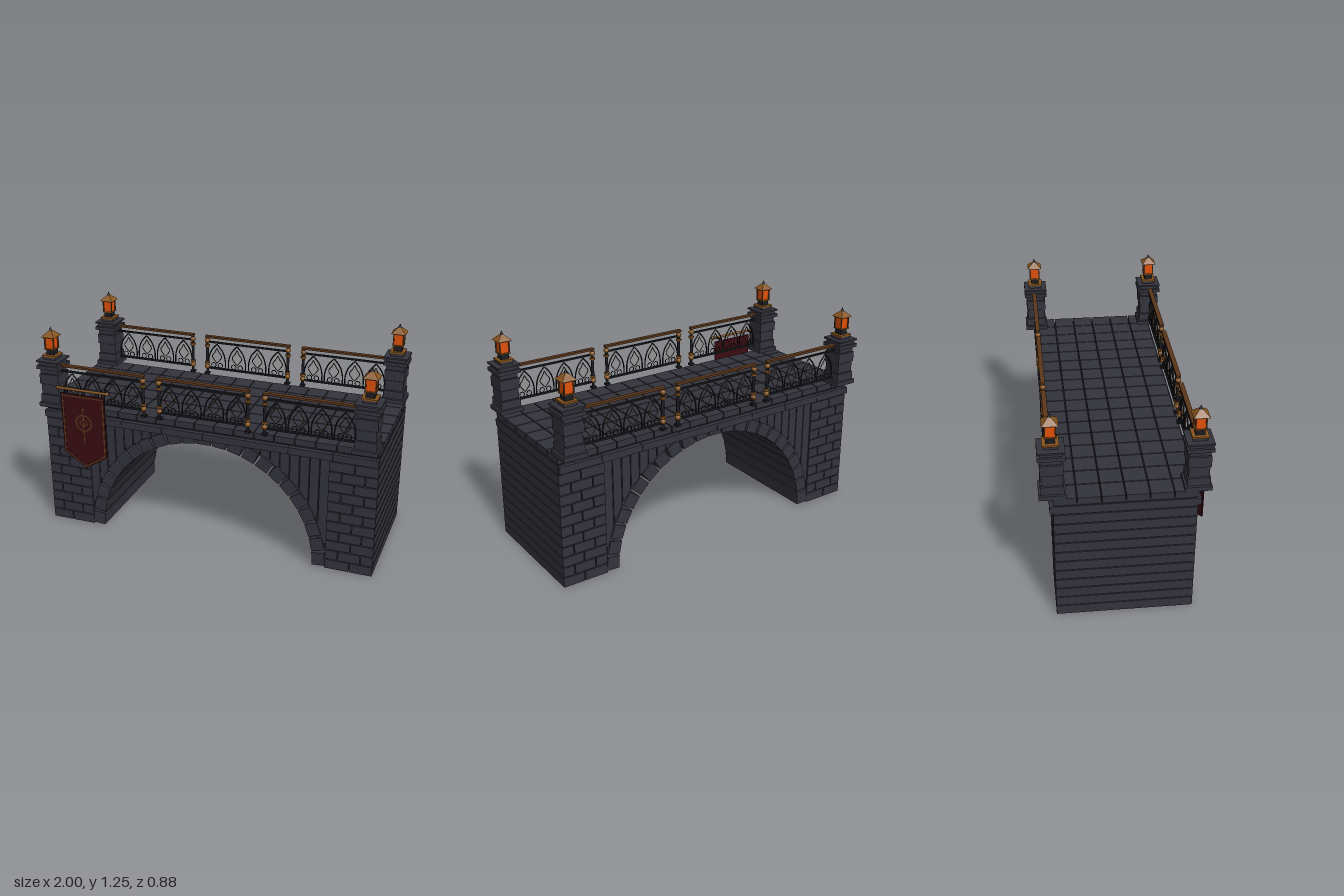
import * as THREE from 'three';

const paint = (name, color) => {
  const m = new THREE.MeshStandardMaterial({ color });
  m.name = name;
  return m;
};

export function createModel() {
  const stone = paint('slate stone', 0x33333d);
  const joint = paint('dark joint', 0x1f1f25);
  const iron = paint('black iron', 0x1b1c21);
  const bronze = paint('bronze', 0x5c371b);
  const gold = paint('aged gold', 0x87551f);
  const glow = paint('lantern glow', 0xe2500a);
  const cloth = paint('banner cloth', 0x3a0b11);
  cloth.side = THREE.DoubleSide;

  const root = new THREE.Group();
  root.name = 'bridge';
  const group = (name, parent = root) => {
    const g = new THREE.Group();
    g.name = name;
    parent.add(g);
    return g;
  };
  const add = (parent, name, geo, mat, x = 0, y = 0, z = 0) => {
    const m = new THREE.Mesh(geo, mat);
    m.name = name;
    m.position.set(x, y, z);
    parent.add(m);
    return m;
  };
  // Box given by its x, y and z limits
  const block = (parent, name, mat, x0, x1, y0, y1, z0, z1) =>
    add(parent, name, new THREE.BoxGeometry(Math.abs(x1 - x0), y1 - y0, z1 - z0), mat,
      (x0 + x1) / 2, (y0 + y1) / 2, (z0 + z1) / 2);
  // Square course centred on the parent's axis
  const course = (parent, name, mat, half, y0, y1) =>
    block(parent, name, mat, -half, half, y0, y1, -half, half);
  const flat = (geo) => {
    const g = geo.toNonIndexed();
    g.computeVertexNormals();
    return g;
  };
  const tube = (points, r, closed = false, n = 14) => new THREE.TubeGeometry(
    new THREE.CatmullRomCurve3(points.map(([x, y]) => new THREE.Vector3(x, y, 0)), closed), n, r, 5, closed);

  // Abutments: through-going bricks in running bond
  const rowH = 0.0617;
  for (const s of [-1, 1]) {
    const abutment = group(s > 0 ? 'leftAbutment' : 'rightAbutment');
    for (let r = 0; r < 12; r++) {
      const y0 = r * rowH, y1 = Math.min(y0 + rowH - 0.006, 0.728);
      const cuts = r % 2 ? [0.725, 0.80, 0.93, 1] : [0.725, 0.87, 1];
      for (let i = 0; i + 1 < cuts.length; i++)
        block(abutment, 'brick', stone, s * (cuts[i] + 0.003), s * (cuts[i + 1] - (i + 2 < cuts.length ? 0.003 : 0)),
          y0, y1, -0.37, 0.37);
    }
  }

  // Arch ring
  const arch = group('archRing');
  const count = 23;
  for (let i = 0; i < count; i++) {
    const a = (i + 0.5) / count * Math.PI;
    const v = add(arch, 'voussoir', new THREE.BoxGeometry(0.074, 0.079, 0.74), stone,
      Math.cos(a) * 0.69, Math.sin(a) * 0.69, 0);
    v.rotation.z = a;
  }

  // Spandrels: dark core with upright facing stones
  const spandrel = group('spandrels');
  const R = 0.718;
  const core = new THREE.Shape();
  core.moveTo(-0.728, 0.728);
  core.lineTo(-0.728, 0.12);
  core.lineTo(-Math.sqrt(R * R - 0.0144), 0.12);
  core.absarc(0, 0, R, Math.PI - Math.asin(0.12 / R), Math.asin(0.12 / R), true);
  core.lineTo(0.728, 0.12);
  core.lineTo(0.728, 0.728);
  add(spandrel, 'spandrelCore',
    new THREE.ExtrudeGeometry(core, { depth: 0.7, bevelEnabled: false, curveSegments: 40 }), joint, 0, 0, -0.35);
  for (const s of [-1, 1]) for (let i = 0; i < 10; i++) {
    const x1 = 0.728 - i * 0.057, x0 = x1 - 0.052, mid = (x0 + x1) / 2;
    const y0 = Math.sqrt(R * R - mid * mid);
    if (y0 < 0.7) block(spandrel, 'facingStone', stone, s * x0, s * x1, y0, 0.728, -0.36, 0.36);
  }

  // String courses and deck paving
  const deck = group('deck');
  for (const s of [-1, 1]) for (let i = 0; i < 8; i++)
    block(deck, 'stringCourse', stone, -1 + i * 0.25, -0.752 + i * 0.25, 0.686, 0.727, s * 0.37 - 0.018, s * 0.37 + 0.018);
  block(deck, 'deckBed', joint, -0.995, 0.995, 0.727, 0.745, -0.36, 0.36);
  const nx = 17, nz = 6, px = 2 / nx, pz = 0.744 / nz;
  for (let i = 0; i < nx; i++) for (let k = 0; k < nz; k++)
    block(deck, 'pavingStone', stone, -1 + i * px + 0.003, -1 + (i + 1) * px - 0.003, 0.738, 0.775,
      -0.372 + k * pz + 0.003, -0.372 + (k + 1) * pz - 0.003);

  // Corner piers with lanterns
  const makePier = (x, z) => {
    const p = group('cornerPier');
    p.position.set(x, 0, z);
    course(p, 'pierBase', stone, 0.07, 0.772, 0.797);
    [[0.80, 0.846], [0.85, 0.908], [0.912, 0.973], [0.977, 1.003]].forEach(([a, b], i) =>
      course(p, 'pierBlock', stone, i % 2 ? 0.054 : 0.06, a, b));
    course(p, 'pierJoint', joint, 0.047, 0.79, 1.04);
    course(p, 'pierCollar', stone, 0.07, 1.005, 1.026);
    course(p, 'pierNeck', stone, 0.057, 1.026, 1.046);
    course(p, 'pierCap', stone, 0.07, 1.046, 1.056);
    const l = group('lantern', p);
    course(l, 'plinth', stone, 0.037, 1.056, 1.073);
    course(l, 'plinthTrim', gold, 0.043, 1.073, 1.083);
    course(l, 'foot', iron, 0.024, 1.083, 1.114);
    course(l, 'floor', gold, 0.032, 1.114, 1.12);
    course(l, 'glass', glow, 0.025, 1.12, 1.184);
    for (const a of [-1, 1]) for (const b of [-1, 1])
      add(l, 'cornerBar', new THREE.BoxGeometry(0.007, 0.066, 0.007), bronze, a * 0.027, 1.152, b * 0.027);
    course(l, 'eave', gold, 0.034, 1.184, 1.19);
    const roof = add(l, 'roof', flat(new THREE.CylinderGeometry(0.012, 0.06, 0.033, 4)), gold, 0, 1.2065, 0);
    roof.rotation.y = Math.PI / 4;
    add(l, 'finial', new THREE.ConeGeometry(0.011, 0.025, 8), iron, 0, 1.233, 0);
  };
  for (const x of [-0.93, 0.93]) for (const z of [-0.37, 0.37]) makePier(x, z);

  // Railing tracery, built once around x = 0 and reused
  const archGeo = tube([[-0.056, 0.82], [-0.055, 0.875], [-0.038, 0.93], [0, 0.978]], 0.0042);
  const archGeo2 = tube([[0.056, 0.82], [0.055, 0.875], [0.038, 0.93], [0, 0.978]], 0.0042);
  const leafGeo = [-1, 1].map((s) =>
    tube([[0, 0.952], [s * 0.012, 0.927], [s * 0.031, 0.897], [s * 0.016, 0.87], [0, 0.852]], 0.0028));
  const scrollGeo = new THREE.TorusGeometry(0.015, 0.0028, 5, 14);
  const postGeo = new THREE.CylinderGeometry(0.009, 0.009, 0.245, 8);
  const knobGeo = new THREE.SphereGeometry(0.017, 10, 8);
  const ringGeo = new THREE.CylinderGeometry(0.017, 0.017, 0.012, 8);
  const makePanel = (x0, x1, posts, z) => {
    const g = group('railingPanel');
    g.position.z = z;
    block(g, 'handrail', bronze, x0, x1, 1.016, 1.028, -0.013, 0.013);
    block(g, 'upperRail', iron, x0, x1, 0.984, 0.993, -0.007, 0.007);
    block(g, 'lowerRail', iron, x0, x1, 0.812, 0.822, -0.008, 0.008);
    for (const x of posts) {
      add(g, 'post', postGeo, iron, x, 0.897, 0);
      add(g, 'postKnob', knobGeo, gold, x, 0.995, 0);
      add(g, 'postRing', ringGeo, gold, x, 0.963, 0);
      add(g, 'postRing', ringGeo, gold, x, 0.85, 0);
      add(g, 'postKnob', knobGeo, gold, x, 0.825, 0);
      add(g, 'postFoot', new THREE.BoxGeometry(0.03, 0.012, 0.03), iron, x, 0.781, 0);
    }
    const pitch = (x1 - x0 - 0.02) / 4;
    for (let i = 0; i < 4; i++) {
      const x = x0 + 0.01 + (i + 0.5) * pitch;
      add(g, 'pointedArch', archGeo, iron, x);
      add(g, 'pointedArch', archGeo2, iron, x);
      for (const leaf of leafGeo) add(g, 'leafTracery', leaf, bronze, x);
      for (const s of [-1, 1]) add(g, 'scroll', scrollGeo, iron, x + s * 0.022, 0.838, 0);
    }
  };
  for (const z of [-0.378, 0.378]) {
    makePanel(-0.88, -0.35, [-0.36], z);
    makePanel(-0.275, 0.275, [-0.263, 0.263], z);
    makePanel(0.35, 0.88, [0.36], z);
  }

  // Hanging banner on the front
  const banner = group('banner');
  banner.position.set(-0.722, 0, 0.426);
  const outline = (k) => [[-0.139 + k, 0.874 - k], [-0.139 + k, 0.497 + k * 0.6], [0, 0.408 + k * 1.2],
    [0.139 - k, 0.497 + k * 0.6], [0.139 - k, 0.874 - k]].map(([x, y]) => new THREE.Vector2(x, y));
  const plate = (shape, depth) => new THREE.ExtrudeGeometry(shape, { depth, bevelEnabled: false });
  add(banner, 'bannerCloth', plate(new THREE.Shape(outline(0)), 0.006), cloth, 0, 0, -0.003);
  const border = new THREE.Shape(outline(0.008));
  border.holes.push(new THREE.Path(outline(0.016)));
  add(banner, 'bannerBorder', plate(border, 0.003), bronze, 0, 0, 0.003);
  add(banner, 'emblemRing', new THREE.RingGeometry(0.044, 0.053, 32), bronze, 0, 0.7, 0.005);
  add(banner, 'emblemDiamond', new THREE.RingGeometry(0.022, 0.03, 4), bronze, 0, 0.7, 0.005);
  block(banner, 'emblemStaff', bronze, -0.004, 0.004, 0.56, 0.797, 0.003, 0.006);
  const rod = add(banner, 'bannerRod', new THREE.CylinderGeometry(0.008, 0.008, 0.315, 8), gold, 0, 0.902, 0);
  rod.rotation.z = Math.PI / 2;
  for (const s of [-1, 1]) {
    add(banner, 'rodEnd', new THREE.SphereGeometry(0.011, 8, 6), gold, s * 0.157, 0.902, 0);
    block(banner, 'bannerStrap', iron, s * 0.1 - 0.006, s * 0.1 + 0.006, 0.87, 0.9, -0.003, 0.003);
    block(banner, 'rodBracket', iron, s * 0.13 - 0.005, s * 0.13 + 0.005, 0.898, 0.906, -0.05, 0);
  }
  return root;
}
